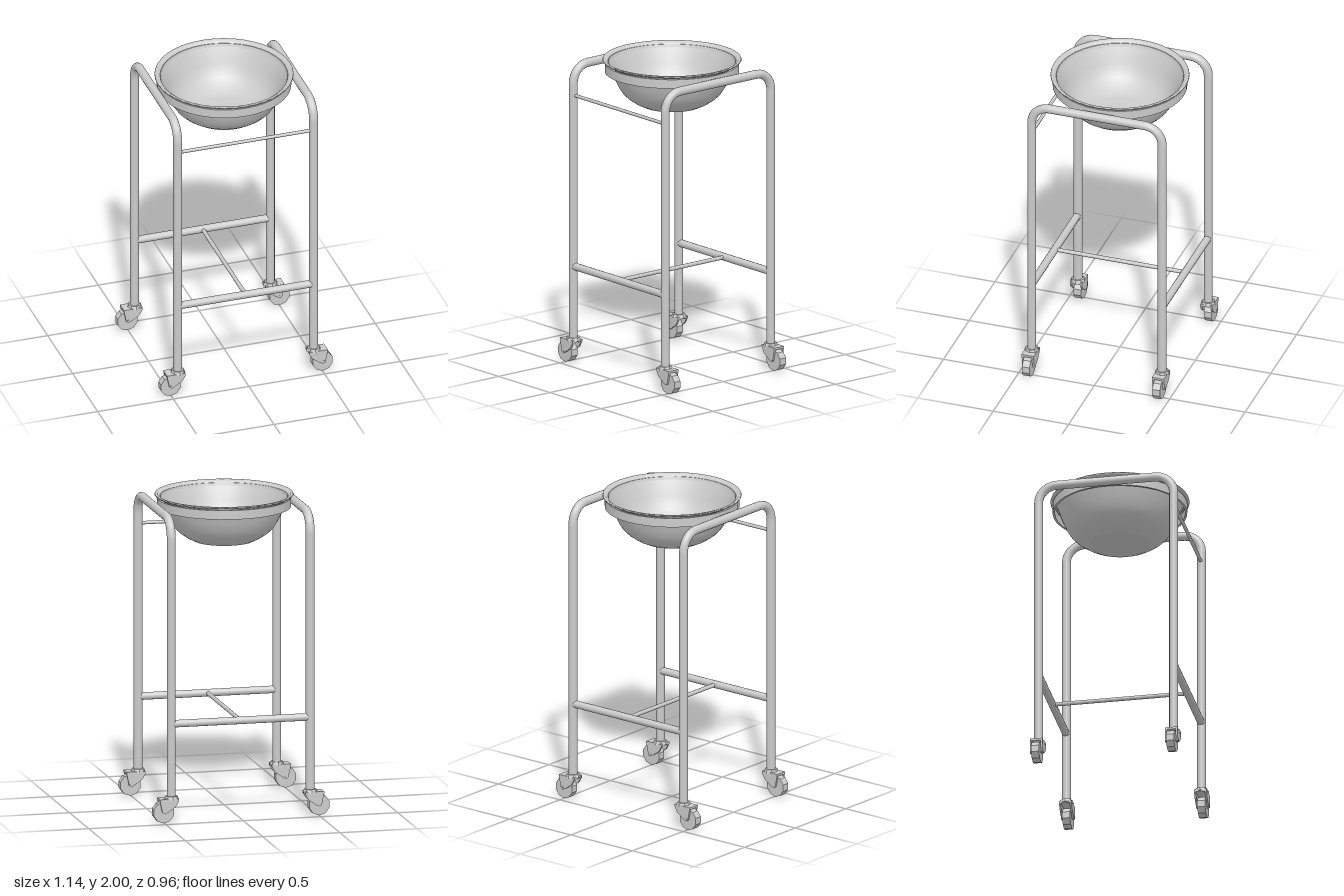
import * as THREE from 'three';

const LEG_X = 0.449, LEG_Z = 0.432, TUBE_R = 0.028;
const material = new THREE.MeshStandardMaterial({ color: 0xcccccc, side: THREE.DoubleSide });
const flatMaterial = new THREE.MeshStandardMaterial({ color: 0xcccccc, flatShading: true });

function add(parent, name, geometry, mat = material) {
  const mesh = new THREE.Mesh(geometry, mat);
  mesh.name = name;
  parent.add(mesh);
  return mesh;
}

// Straight round bar between two points
function bar(parent, name, a, b, radius) {
  const from = new THREE.Vector3(...a), to = new THREE.Vector3(...b);
  const dir = to.clone().sub(from);
  const mesh = add(parent, name, new THREE.CylinderGeometry(radius, radius, dir.length(), 12));
  mesh.position.copy(from).add(to).multiplyScalar(0.5);
  mesh.quaternion.setFromUnitVectors(new THREE.Vector3(0, 1, 0), dir.normalize());
  return mesh;
}

// Inverted U tube: two legs joined by a rounded top rail
function sideFrameGeometry() {
  const top = 1.934, bottom = 0.16, bend = 0.115;
  const v = (y, z) => new THREE.Vector3(0, y, z);
  const path = new THREE.CurvePath();
  const corner = (s) => {
    const pts = [];
    for (let i = 0; i <= 8; i++) {
      const t = (i / 8) * Math.PI / 2;
      pts.push(v(top - bend + bend * Math.sin(t), s * (LEG_Z - bend + bend * Math.cos(t))));
    }
    return s > 0 ? pts : pts.reverse();
  };
  const pts = [v(bottom, LEG_Z), ...corner(1), ...corner(-1), v(bottom, -LEG_Z)];
  for (let i = 1; i < pts.length; i++) path.add(new THREE.LineCurve3(pts[i - 1], pts[i]));
  return new THREE.TubeGeometry(path, 200, TUBE_R, 14);
}

// Swivel caster trailing towards +x, origin on the floor under its leg
function caster() {
  const group = new THREE.Group();
  group.name = 'caster';

  const collar = add(group, 'swivelCollar', new THREE.CylinderGeometry(0.04, 0.048, 0.022, 8), flatMaterial);
  collar.position.y = 0.158;

  const plate = add(group, 'forkPlate', new THREE.BoxGeometry(0.12, 0.014, 0.08), flatMaterial);
  plate.position.set(0.022, 0.148, 0);

  const wheel = add(group, 'wheel', new THREE.CylinderGeometry(0.068, 0.068, 0.05, 10), flatMaterial);
  wheel.rotation.x = Math.PI / 2;
  wheel.position.set(0.054, 0.068, 0);

  const cheek = new THREE.Shape([
    [-0.04, 0.155], [0.08, 0.155], [0.08, 0.135], [0.066, 0.07], [0.05, 0.06], [0.03, 0.07], [-0.02, 0.105], [-0.04, 0.14],
  ].map(([x, y]) => new THREE.Vector2(x, y)));
  for (const z of [-0.04, 0.028]) {
    const side = add(group, 'forkCheek',
      new THREE.ExtrudeGeometry(cheek, { depth: 0.012, bevelEnabled: false }), flatMaterial);
    side.position.z = z;
  }

  const axle = add(group, 'axle', new THREE.CylinderGeometry(0.01, 0.01, 0.084, 8), flatMaterial);
  axle.rotation.x = Math.PI / 2;
  axle.position.set(0.054, 0.072, 0);
  return group;
}

export function createModel() {
  const model = new THREE.Group();
  model.name = 'bowlStand';

  // Side frames and casters
  const frame = sideFrameGeometry();
  for (const sx of [-1, 1]) {
    add(model, sx > 0 ? 'leftSideFrame' : 'rightSideFrame', frame).position.x = sx * LEG_X;
    for (const sz of [-1, 1]) {
      const c = caster();
      c.position.set(sx * LEG_X, 0, sz * LEG_Z);
      if (sx < 0) c.rotation.y = Math.PI;
      model.add(c);
    }
  }

  // Lower H brace and the thin upper front rod
  for (const z of [-LEG_Z, LEG_Z]) bar(model, 'lowerCrossbar', [-LEG_X, 0.63, z], [LEG_X, 0.63, z], 0.024);
  bar(model, 'lowerCentreBar', [0, 0.63, -LEG_Z], [0, 0.63, LEG_Z], 0.013);
  bar(model, 'upperFrontRod', [-LEG_X, 1.742, LEG_Z], [LEG_X, 1.742, LEG_Z], 0.011);

  // Hoop carrying the bowl
  const hoop = [[0.41, 1.917], [0.423, 1.917], [0.423, 1.975], [0.41, 1.975], [0.41, 1.917]];
  for (let i = 1; i < hoop.length; i++) {
    const pts = [hoop[i - 1], hoop[i]].map(([r, y]) => new THREE.Vector2(r, y));
    add(model, 'supportHoop', new THREE.LatheGeometry(pts, 40));
  }

  // Bowl: outer wall, rolled lip, inner wall
  const lathe = (name, pts) =>
    add(model, name, new THREE.LatheGeometry(pts.map(([r, y]) => new THREE.Vector2(r, y)), 40));
  lathe('bowlBase', [[0, 1.7], [0.19, 1.7]]);
  lathe('bowlOuterWall', [[0.19, 1.7], [0.235, 1.722], [0.283, 1.755], [0.313, 1.785],
    [0.337, 1.822], [0.36, 1.87], [0.378, 1.92], [0.4, 1.982]]);
  lathe('bowlLip', [[0.4, 1.982], [0.43, 1.986], [0.437, 1.993], [0.434, 2.0], [0.42, 1.998], [0.405, 1.985]]);
  lathe('bowlInnerWall', [[0.405, 1.985], [0.37, 1.92], [0.351, 1.87], [0.328, 1.824], [0.304, 1.789],
    [0.275, 1.762], [0.23, 1.732], [0.185, 1.712], [0.1, 1.709], [0, 1.708]]);

  return model;
}
